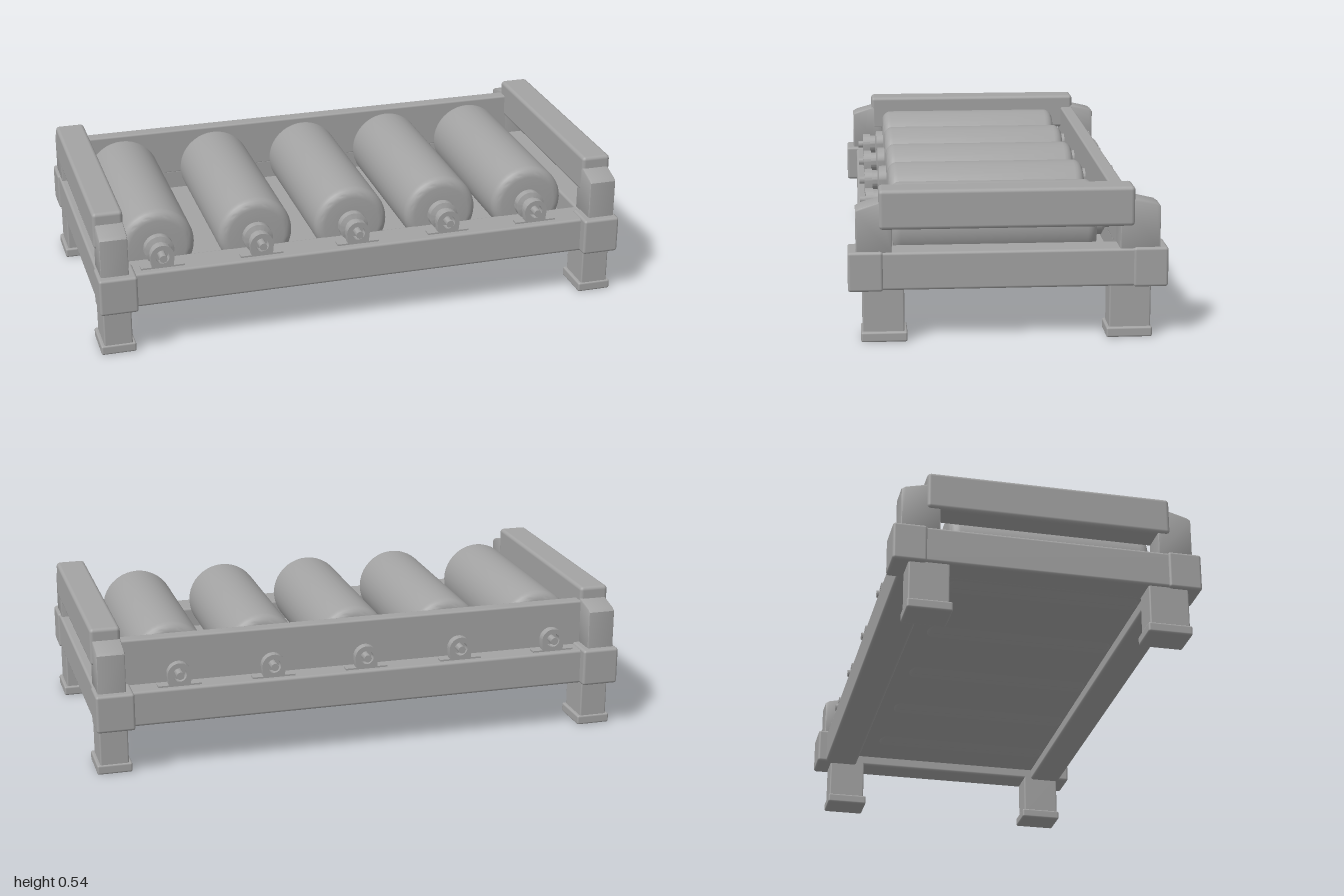
import * as THREE from 'three';
import { toCreasedNormals } from 'three/addons/utils/BufferGeometryUtils.js';
import { RoundedBoxGeometry } from 'three/addons/geometries/RoundedBoxGeometry.js';

const steel = new THREE.MeshStandardMaterial({ color: 0xa3a3a3 });
steel.name = 'grey steel';

function add(parent, name, geometry) {
  const mesh = new THREE.Mesh(geometry, steel);
  mesh.name = name;
  parent.add(mesh);
  return mesh;
}

// Softly rounded box given by its limits on each axis
function block(parent, name, [x0, x1], [y0, y1], [z0, z1], r = 0.01) {
  const g = new RoundedBoxGeometry(x1 - x0, y1 - y0, z1 - z0, 2, r);
  g.translate((x0 + x1) / 2, (y0 + y1) / 2, (z0 + z1) / 2);
  return add(parent, name, g);
}

// Upright post with a sloping, chamfered outer top edge
function post(parent, name, x, side, inner, outer) {
  const s = new THREE.Shape();
  const pts = [[inner, 0.31], [outer, 0.31], [outer, 0.462], [outer - 0.014, 0.472], [inner + 0.04, 0.492], [inner, 0.495]];
  s.setFromPoints(pts.map(([z, y]) => new THREE.Vector2(z * side, y)));
  const g = new THREE.ExtrudeGeometry(s, { depth: 0.09, bevelThickness: 0.006, bevelSize: 0.004, bevelOffset: -0.004, bevelSegments: 2 });
  g.rotateY(-Math.PI / 2);
  g.translate(x + 0.045, 0, 0);
  return add(parent, name, toCreasedNormals(g, 0.7));
}

// Roller drum with stepped hubs and through axle, turned around z
function rollerGeometry() {
  const R = 0.14, c = 0.035, front = 0.4, back = -0.33;
  const p = [[0, -0.51], [0.014, -0.51], [0.014, -0.4], [0.035, -0.4], [0.035, -0.37], [0.06, -0.355], [0.06, back]];
  for (let i = 0; i <= 5; i++) {
    const a = (i / 5) * Math.PI / 2;
    p.push([R - c + c * Math.sin(a), back + c - c * Math.cos(a)]);
  }
  for (let i = 0; i <= 5; i++) {
    const a = (i / 5) * Math.PI / 2;
    p.push([R - c + c * Math.cos(a), front - c + c * Math.sin(a)]);
  }
  p.push([0.055, front], [0.055, 0.428], [0.036, 0.434], [0.036, 0.455], [0.014, 0.455], [0.014, 0.505], [0, 0.505]);
  const g = new THREE.LatheGeometry(p.map(([r, y]) => new THREE.Vector2(r, y)), 40);
  g.rotateX(Math.PI / 2);
  return toCreasedNormals(g, 0.6);
}

// Arched axle clamp with two flat feet
function clamp(parent, x, z) {
  const s = new THREE.Shape();
  s.moveTo(-0.08, 0.305);
  s.lineTo(0.08, 0.305);
  s.lineTo(0.08, 0.318);
  s.lineTo(0.04, 0.318);
  s.lineTo(0.044, 0.355);
  s.absarc(0, 0.355, 0.044, 0, Math.PI, false);
  s.lineTo(-0.04, 0.318);
  s.lineTo(-0.08, 0.318);
  const hole = new THREE.Path();
  hole.absarc(0, 0.355, 0.026, 0, Math.PI * 2, true);
  s.holes.push(hole);
  const g = new THREE.ExtrudeGeometry(s, { depth: 0.03, bevelEnabled: false, curveSegments: 14 });
  g.translate(x, 0, z - 0.015);
  add(parent, 'axleClamp', toCreasedNormals(g, 0.6));
}

export function createModel() {
  const model = new THREE.Group();
  model.name = 'rollerConveyor';

  // Each end: beam, corner blocks, legs, posts and upper guard rail
  for (const s of [-1, 1]) {
    const span = (a, b) => (s > 0 ? [a, b] : [-b, -a]);
    const end = new THREE.Group();
    end.name = s > 0 ? 'leftEnd' : 'rightEnd';
    model.add(end);
    block(end, 'endBeam', span(0.88, 0.994), [0.183, 0.317], [-0.5, 0.5]);
    block(end, 'guardRail', span(0.885, 0.996), [0.395, 0.535], [-0.435, 0.445], 0.014);
    for (const f of [-1, 1]) {
      const depth = (a, b) => (f > 0 ? [a, b] : [-b, -a]);
      const shift = f > 0 ? 0.005 : -0.005;
      block(end, 'cornerBlock', span(0.86, 1), [0.18, 0.32], depth(0.432, 0.553));
      block(end, 'leg', span(0.88, 0.985), [0.02, 0.2], depth(0.355 + shift, 0.5 + shift), 0.006);
      block(end, 'foot', span(0.868, 0.997), [0, 0.036], depth(0.345 + shift, 0.505 + shift), 0.007);
      post(end, 'post', s * 0.937, f, f > 0 ? 0.4 : 0.385, 0.525);
    }
  }

  // Long rails, back guard and sunken floor tray
  block(model, 'frontRail', [-0.9, 0.9], [0.18, 0.312], [0.39, 0.513]);
  block(model, 'backRail', [-0.9, 0.9], [0.18, 0.312], [-0.517, -0.385]);
  block(model, 'backGuard', [-0.9, 0.9], [0.3, 0.483], [-0.437, -0.385], 0.008);
  block(model, 'floorTray', [-0.9, 0.9], [0.222, 0.236], [-0.42, 0.42], 0.003);

  // Rollers with a clamp at each axle end
  const drum = rollerGeometry();
  for (const x of [-0.755, -0.385, -0.018, 0.335, 0.685]) {
    add(model, 'roller', drum).position.set(x, 0.355, 0);
    clamp(model, x, 0.47);
    clamp(model, x, -0.48);
  }
  return model;
}
